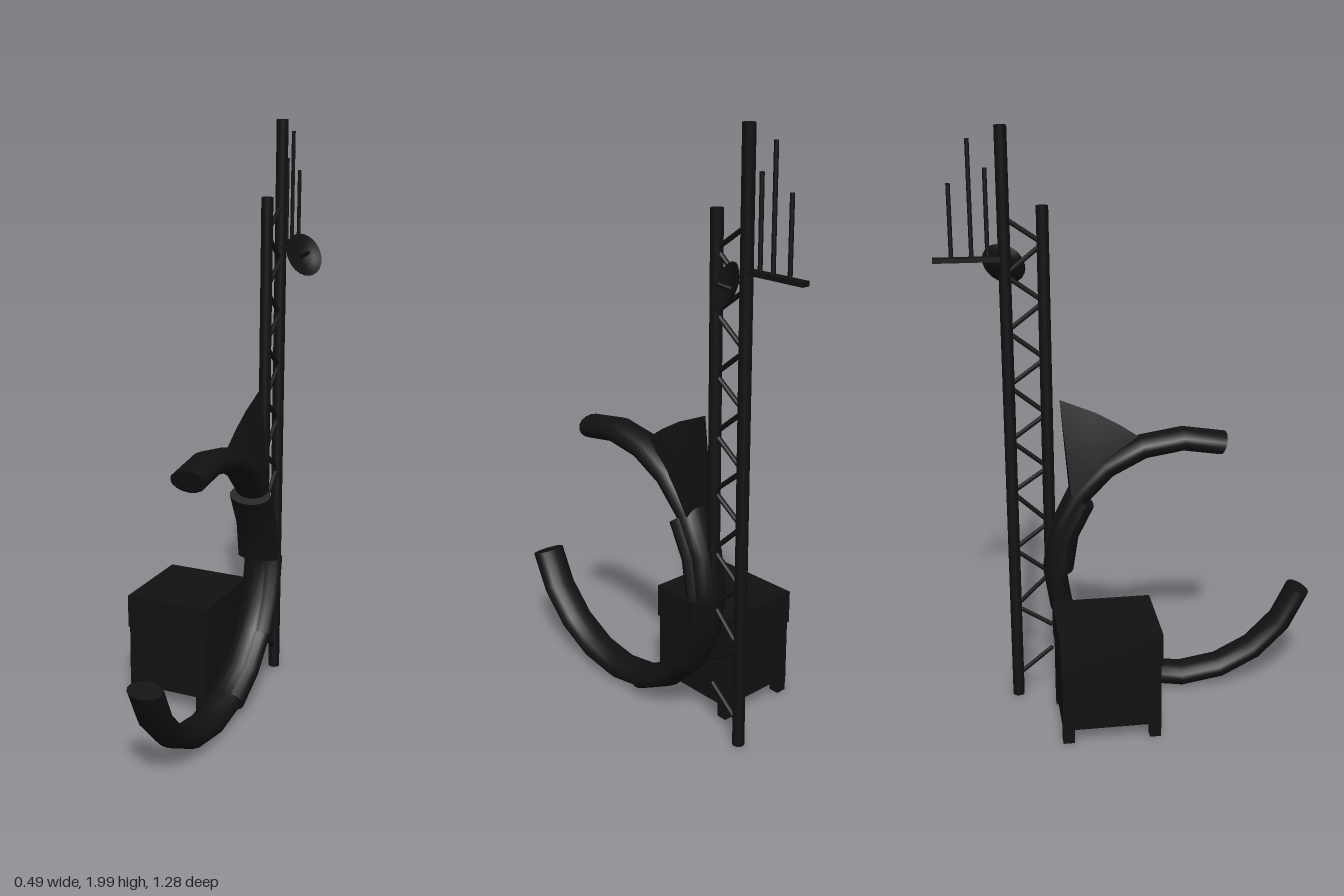
import * as THREE from 'three';
import { toCreasedNormals } from 'three/addons/utils/BufferGeometryUtils.js';

const material = new THREE.MeshStandardMaterial({ color: 0x111111 });
const CX = 0.12; // plane of the hook and mast

// Skin a list of equal-length rings of [x, y, z] points and close both ends.
function loft(rings) {
  const n = rings[0].length;
  const pos = rings.flat(2);
  const index = [];
  for (let i = 0; i < rings.length - 1; i++) {
    for (let j = 0; j < n; j++) {
      const a = i * n + j, b = i * n + (j + 1) % n;
      index.push(a, a + n, b, b, a + n, b + n);
    }
  }
  const last = (rings.length - 1) * n;
  for (let j = 1; j < n - 1; j++) {
    index.push(0, j, j + 1, last, last + j + 1, last + j);
  }
  const g = new THREE.BufferGeometry();
  g.setAttribute('position', new THREE.Float32BufferAttribute(pos, 3));
  g.setIndex(index);
  return toCreasedNormals(g, 0.6);
}

// Elliptical tube along an arc in the y-z plane; angles in 18 degree steps from +z.
function arcTube(from, to, radius, halfWidth, halfDepth, cx = CX) {
  const rings = [];
  for (let s = from; s <= to; s++) {
    const a = s * Math.PI / 10;
    const ring = [];
    for (let j = 0; j < 16; j++) {
      const t = j * Math.PI / 8;
      const r = radius + halfDepth * Math.sin(t);
      ring.push([cx + halfWidth * Math.cos(t), 0.5 + r * Math.sin(a), 0.17 + r * Math.cos(a)]);
    }
    rings.push(ring);
  }
  return loft(rings);
}

export function createModel() {
  const model = new THREE.Group();

  function add(name, geometry, x = 0, y = 0, z = 0) {
    const mesh = new THREE.Mesh(geometry, material);
    mesh.name = name;
    mesh.position.set(x, y, z);
    model.add(mesh);
    return mesh;
  }
  const box = (name, w, h, d, x, y, z) => add(name, new THREE.BoxGeometry(w, h, d), x, y, z);

  // Round bar between two points
  function rod(name, from, to, r, sides = 8) {
    const a = new THREE.Vector3(...from), b = new THREE.Vector3(...to);
    const dir = b.clone().sub(a);
    const mesh = add(name, new THREE.CylinderGeometry(r, r, dir.length(), sides));
    mesh.position.copy(a).add(b).multiplyScalar(0.5);
    mesh.quaternion.setFromUnitVectors(new THREE.Vector3(0, 1, 0), dir.normalize());
    return mesh;
  }

  // Large open ring with its sleeve and side panels
  add('hookArc', arcTube(4, 19, 0.45, 0.06, 0.04));
  add('upperSleeve', arcTube(8, 10, 0.425, 0.075, 0.042));
  add('sidePanelUpper', arcTube(10, 12, 0.45, 0.055, 0.034, 0.145));
  add('sidePanelLower', arcTube(12, 14, 0.45, 0.055, 0.036, 0.137));

  // Fin rising from the arc to the mast: [top z, top y, base z, base y, half width]
  const fin = [
    [0.015, 0.965, 0.015, 0.94, 0.006],
    [-0.05, 1.01, -0.04, 0.91, 0.024],
    [-0.13, 1.055, -0.12, 0.86, 0.04],
    [-0.25, 1.105, -0.22, 0.77, 0.05],
  ].map(([zt, yt, zb, yb, w]) => {
    const ym = (yt + yb) / 2, zm = (zt + zb) / 2;
    return [
      [CX + w, yb, zb], [CX + w * 0.6, ym, zm], [CX, yt, zt],
      [CX - w * 0.6, ym, zm], [CX - w, yb, zb],
    ];
  });
  add('fin', loft(fin));

  // Equipment cabinet with lid, feet and underside rails
  box('cabinet', 0.295, 0.23, 0.33, -0.091, 0.18, -0.125);
  box('cabinetLid', 0.303, 0.115, 0.34, -0.091, 0.339, -0.125);
  for (const x of [-0.218, 0.036]) {
    for (const z of [0.021, -0.271]) {
      box('foot', 0.038, 0.065, 0.038, x, 0.0475, z);
    }
    rod('sideRail', [x, 0.062, 0.02], [x, 0.062, -0.27], 0.006);
  }
  for (const z of [0.021, -0.271]) {
    rod('crossRail', [-0.218, 0.062, z], [0.036, 0.062, z], 0.006);
  }

  // Lattice mast
  const rearZ = -0.417, frontZ = -0.293;
  rod('rearPost', [CX, 0.015, rearZ], [CX, 2, rearZ], 0.02, 16);
  rod('frontPost', [CX, 0.48, frontZ], [CX, 1.75, frontZ], 0.02, 16);
  const braceY = [1.715, 1.63, 1.53, 1.44, 1.345, 1.25, 1.16, 1.06, 0.97,
    0.87, 0.785, 0.67, 0.575, 0.48, 0.36, 0.28];
  const braceZ = (i) => (i % 2 ? frontZ : rearZ);
  for (let i = 0; i < braceY.length - 1; i++) {
    rod('brace', [CX, braceY[i], braceZ(i)], [CX, braceY[i + 1], braceZ(i + 1)], 0.008);
  }
  rod('bottomBrace', [CX, 0.19, frontZ], [CX, 0.09, rearZ], 0.008);

  // Antenna arm and whips
  box('antennaArm', 0.028, 0.015, 0.22, CX, 1.583, -0.535);
  for (const [z, top] of [[-0.47, 1.87], [-0.521, 1.96], [-0.585, 1.825]]) {
    rod('antenna', [CX, 1.58, z], [CX, top, z], 0.007);
  }

  // Dish facing out to the side, with a short feed
  const dish = new THREE.Group();
  dish.name = 'dish';
  const bowl = new THREE.Mesh(new THREE.LatheGeometry([
    [0, -0.018], [0.03, -0.015], [0.055, -0.007], [0.075, 0.007],
    [0.075, 0.011], [0.05, 0.001], [0.025, -0.007], [0, -0.009],
  ].map(([x, y]) => new THREE.Vector2(x, y)), 24), material);
  bowl.name = 'bowl';
  const feed = new THREE.Mesh(new THREE.CylinderGeometry(0.006, 0.009, 0.045, 10), material);
  feed.name = 'feed';
  feed.position.y = 0.012;
  dish.add(bowl, feed);
  dish.position.set(0.2, 1.548, -0.42);
  dish.quaternion.setFromUnitVectors(
    new THREE.Vector3(0, 1, 0), new THREE.Vector3(1, 0.5, 0.5).normalize());
  model.add(dish);

  return model;
}
